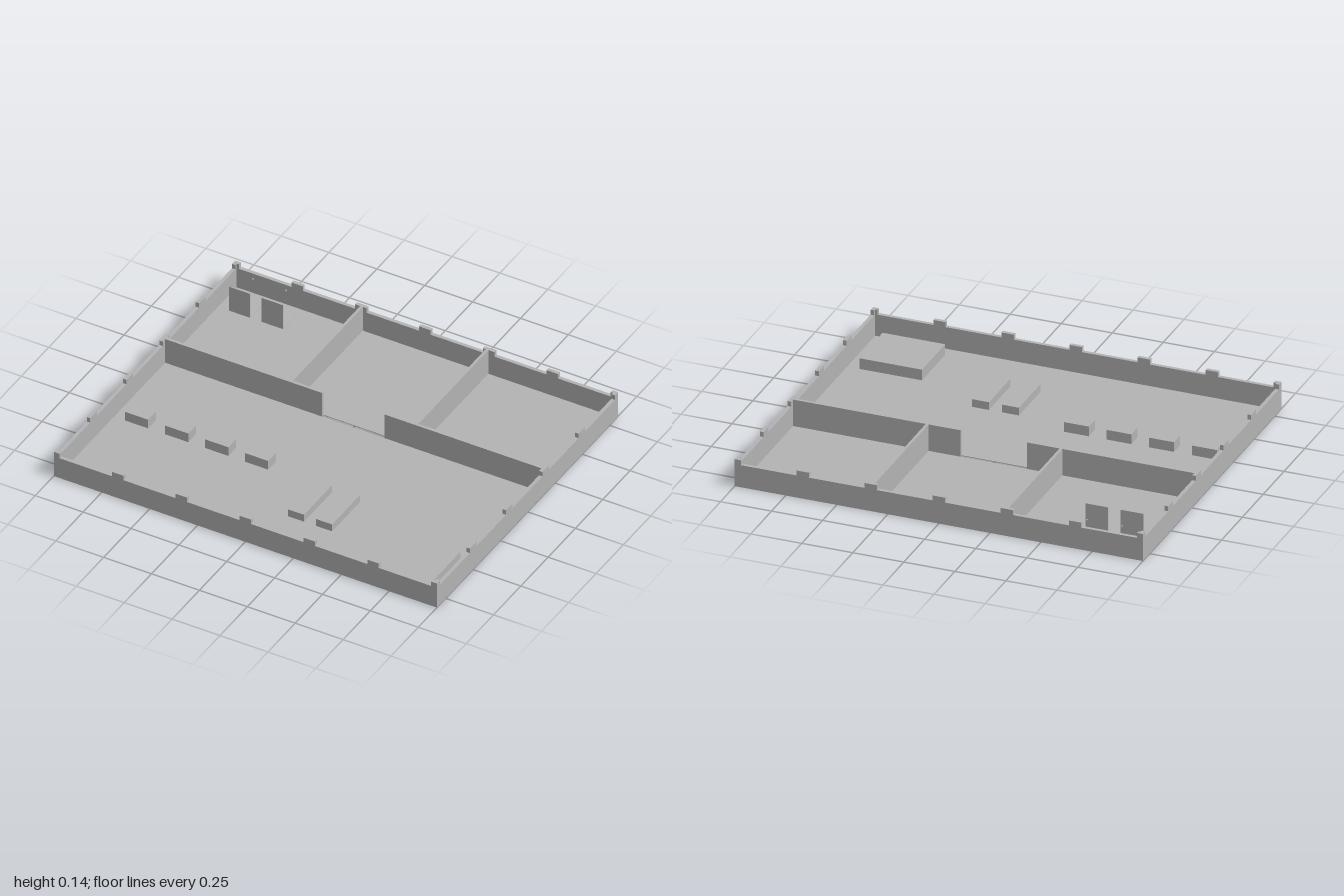
import * as THREE from 'three';

export function createModel() {
  const model = new THREE.Group();
  const grey = new THREE.MeshStandardMaterial({ color: 0xb3b3b3 });
  grey.name = 'stone grey';

  // Box given by its limits on each axis
  function block(name, x0, x1, y0, y1, z0, z1, parent = model) {
    const mesh = new THREE.Mesh(new THREE.BoxGeometry(x1 - x0, y1 - y0, z1 - z0), grey);
    mesh.position.set((x0 + x1) / 2, (y0 + y1) / 2, (z0 + z1) / 2);
    mesh.name = name;
    parent.add(mesh);
    return mesh;
  }
  function group(name) {
    const g = new THREE.Group();
    g.name = name;
    model.add(g);
    return g;
  }

  const W = 1, D = 0.83, T = 0.018;       // half width, half depth, wall thickness
  const wallTop = 0.112, top = 0.137;
  const hallBack = -0.158, roomFront = -0.173;
  const doorHalf = 0.163, floorTop = 0.003;

  // Floors, with an open slot under the doorway
  block('hallFloor', -W + T, W - T, 0, floorTop, hallBack, D - T);
  block('roomFloor', -W + T, W - T, 0, floorTop, -D + T, roomFront);

  // Outer walls
  const outer = group('outerWalls');
  for (const s of [-1, 1]) {
    const z = s * (D - T / 2), x = s * (W - T / 2);
    block('longWall', -W, W, 0, wallTop, z - T / 2, z + T / 2, outer);
    block('sideWall', x - T / 2, x + T / 2, 0, wallTop, -D + T, D - T, outer);
  }

  // Battlements: evenly spaced, half-width at the corners
  const merlons = group('battlements');
  const m = 0.03;
  for (const s of [-1, 1]) {
    const z = s * (D - T / 2), x = s * (W - T / 2);
    for (let i = 0; i <= 6; i++) {
      const c = -W + i * W / 3;
      block('longWallMerlon', Math.max(-W, c - m), Math.min(W, c + m),
        wallTop, top, z - T / 2, z + T / 2, merlons);
    }
    for (let i = 0; i <= 5; i++) {
      const c = -D + i * D / 2.5;
      block('sideWallMerlon', x - T / 2, x + T / 2, wallTop, top,
        Math.max(-D + (i === 0 ? T : 0), c - m), Math.min(D - (i === 5 ? T : 0), c + m), merlons);
    }
  }

  // Inner walls: cross wall with doorway, and two room dividers
  const inner = group('innerWalls');
  block('crossWallRight', -W + T, -doorHalf, 0, top, roomFront, hallBack, inner);
  block('crossWallLeft', doorHalf, W - T, 0, top, roomFront, hallBack, inner);
  for (const x of [-0.33, 0.325])
    block('roomDivider', x - 0.007, x + 0.007, 0, top, -D + T, roomFront, inner);

  // Hall furniture
  for (const x of [-0.865, -0.655, -0.446, -0.238])
    block('desk', x - 0.061, x + 0.061, 0, 0.052, 0.238, 0.31);
  for (const x of [0.116, 0.263])
    block('bench', x - 0.042, x + 0.042, 0, 0.042, 0.313, 0.57);
  block('platform', 0.615, 0.922, 0, 0.057, 0.475, 0.753);

  // Washing stalls: tray, front screen and small spout
  for (const x of [-0.87, -0.698]) {
    const stall = group('washingStall');
    block('tray', x - 0.056, x + 0.056, 0, 0.005, -0.762, -0.643, stall);
    block('screen', x - 0.056, x + 0.056, 0, 0.139, -0.645, -0.642, stall);
    block('spout', x - 0.003, x + 0.003, 0.118, 0.124, -0.768, -0.76, stall);
  }
  return model;
}
